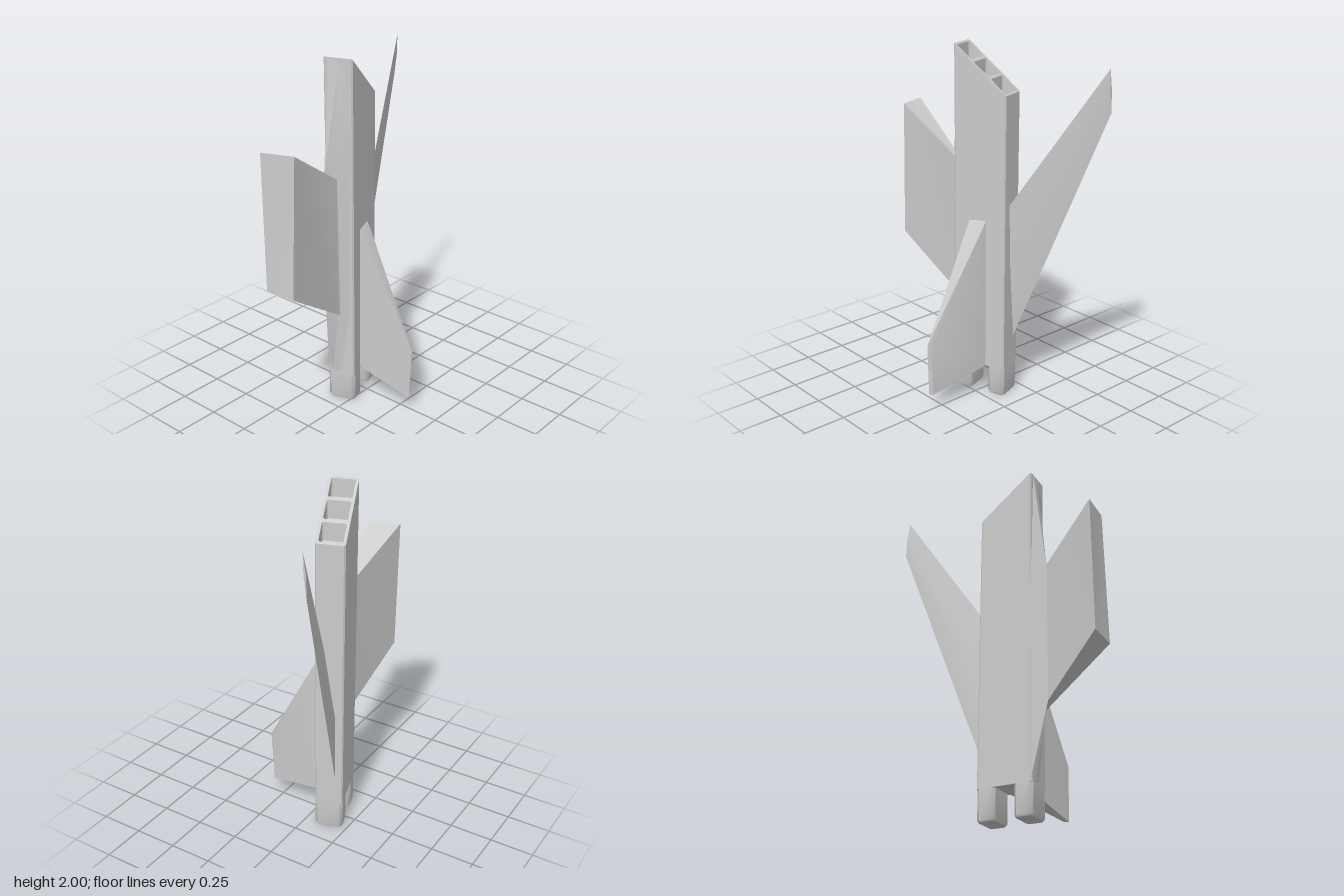
import * as THREE from 'three';
import { toCreasedNormals } from 'three/addons/utils/BufferGeometryUtils.js';

const material = new THREE.MeshStandardMaterial({ color: 0xcccccc });
const HALF_W = 0.158, HALF_D = 0.08;

function part(name, geometry, parent) {
  const mesh = new THREE.Mesh(toCreasedNormals(geometry, 0.6), material);
  mesh.name = name;
  parent.add(mesh);
  return mesh;
}

// Capped skin through cross-sections that share a point count, faces outward
function loft(sections) {
  const tris = [];
  const n = sections[0].length;
  for (let s = 0; s < sections.length - 1; s++) {
    const a = sections[s], b = sections[s + 1];
    for (let i = 0; i < n; i++) {
      const j = (i + 1) % n;
      tris.push([a[i], a[j], b[j]], [a[i], b[j], b[i]]);
    }
  }
  const first = sections[0], last = sections[sections.length - 1];
  for (let i = 1; i < n - 1; i++) {
    tris.push([first[0], first[i + 1], first[i]], [last[0], last[i], last[i + 1]]);
  }
  const v = (p) => new THREE.Vector3(...p);
  const volume = tris.reduce((sum, [a, b, c]) => sum + v(a).dot(v(b).cross(v(c))), 0);
  if (volume < 0) tris.forEach((t) => t.reverse());
  const geometry = new THREE.BufferGeometry();
  geometry.setAttribute('position', new THREE.Float32BufferAttribute(tris.flat(2), 3));
  geometry.computeVertexNormals();
  return geometry;
}

// Rectangle outline with cut corners
function cutRect(cx, halfW, halfD, c) {
  return new THREE.Shape([
    [cx - halfW + c, -halfD], [cx + halfW - c, -halfD], [cx + halfW, -halfD + c], [cx + halfW, halfD - c],
    [cx + halfW - c, halfD], [cx - halfW + c, halfD], [cx - halfW, halfD - c], [cx - halfW, -halfD + c],
  ].map((p) => new THREE.Vector2(...p)));
}

// Upright extrusion; the upper end follows the slanted mouth
function upright(shape, y0, y1, slantAbove = Infinity) {
  const geometry = new THREE.ExtrudeGeometry(shape, { depth: y1 - y0, bevelEnabled: false });
  geometry.rotateX(-Math.PI / 2).translate(0, y0, 0);
  const p = geometry.attributes.position;
  for (let i = 0; i < p.count; i++) {
    if (p.getY(i) > slantAbove) {
      p.setY(i, p.getY(i) - (p.getX(i) + HALF_W) / (2 * HALF_W) * 0.25);
    }
  }
  geometry.computeVertexNormals();
  return geometry;
}

export function createModel() {
  const model = new THREE.Group();
  model.name = 'finnedPod';

  // Body, turned about the vertical axis
  const body = new THREE.Group();
  body.name = 'body';
  body.position.set(-0.019, 0, -0.1);
  body.rotation.y = 0.322;
  model.add(body);
  part('hull', upright(cutRect(0, HALF_W, HALF_D, 0.008), 0.17, 1.9, 1), body);

  // Slanted mouth with three recesses
  const rim = cutRect(0, HALF_W, HALF_D, 0.008);
  for (const u of [-0.103, 0, 0.103]) {
    rim.holes.push(new THREE.Path(cutRect(u, 0.044, 0.064, 0.006).getPoints().reverse()));
  }
  part('mouthRim', upright(rim, 1.9, 2, 1), body);

  // Two feet under the hull
  for (const [side, name] of [[-1, 'rightFoot'], [1, 'leftFoot']]) {
    const c = side * (HALF_W - 0.052);
    const ring = (y, w, d) => cutRect(c, w, d, 0.016).getPoints().slice(0, 8).map((p) => [p.x, y, -p.y]);
    part(name, loft([ring(0, 0.048, 0.074), ring(0.012, 0.052, HALF_D), ring(0.18, 0.052, HALF_D)]), body);
  }

  // Ridge along one side of the hull
  const ridge = [[0.18, 0.16], [0.6, 0.238], [1.38, 0.238], [1.99, 0.159]];
  part('sideRidge', loft(ridge.map(([y, r]) => {
    const inner = 0.155 + (r - 0.155) * 0.45;
    return [[-0.15, y, -0.078], [-r, y, -0.05], [-inner, y, 0.005], [-0.15, y, 0.074]];
  })), body);

  // Wedge-shaped wing, thick at its tip
  part('rightWing', loft([
    [[-0.2, 0.56, -0.07], [-0.18, 0.55, -0.03], [-0.18, 1.345, -0.03], [-0.2, 1.36, -0.065]],
    [[-0.25, 0.59, -0.07], [-0.22, 0.575, -0.03], [-0.2, 1.36, -0.035], [-0.26, 1.395, -0.07]],
    [[-0.645, 0.85, -0.13], [-0.607, 0.83, 0.022], [-0.577, 1.605, 0.03], [-0.642, 1.605, -0.14]],
  ]), model);

  // Long swept wing with a lens-like section
  part('leftWing', loft([
    [[0.1, 0.29, -0.18], [0.1, 0.7, -0.135], [0.1, 1.08, -0.11], [0.1, 0.7, -0.178]],
    [[0.14, 0.395, -0.19], [0.14, 0.78, -0.143], [0.14, 1.14, -0.125], [0.14, 0.78, -0.186]],
    [[0.645, 1.705, -0.341], [0.645, 1.82, -0.325], [0.645, 1.935, -0.322], [0.645, 1.82, -0.339]],
  ]), model);

  // Front fin, tapering to a thin tip
  part('frontFin', loft([
    [[-0.06, 0.185, -0.05], [0.045, 0.17, -0.05], [0.045, 1.07, -0.05], [-0.055, 1.07, -0.05]],
    [[-0.06, 0.18, 0], [0.045, 0.165, -0.02], [0.045, 1.0, -0.01], [-0.052, 1.03, 0]],
    [[-0.02, 0.083, 0.325], [-0.002, 0.083, 0.31], [-0.002, 0.375, 0.32], [-0.014, 0.39, 0.338]],
  ]), model);

  return model;
}
